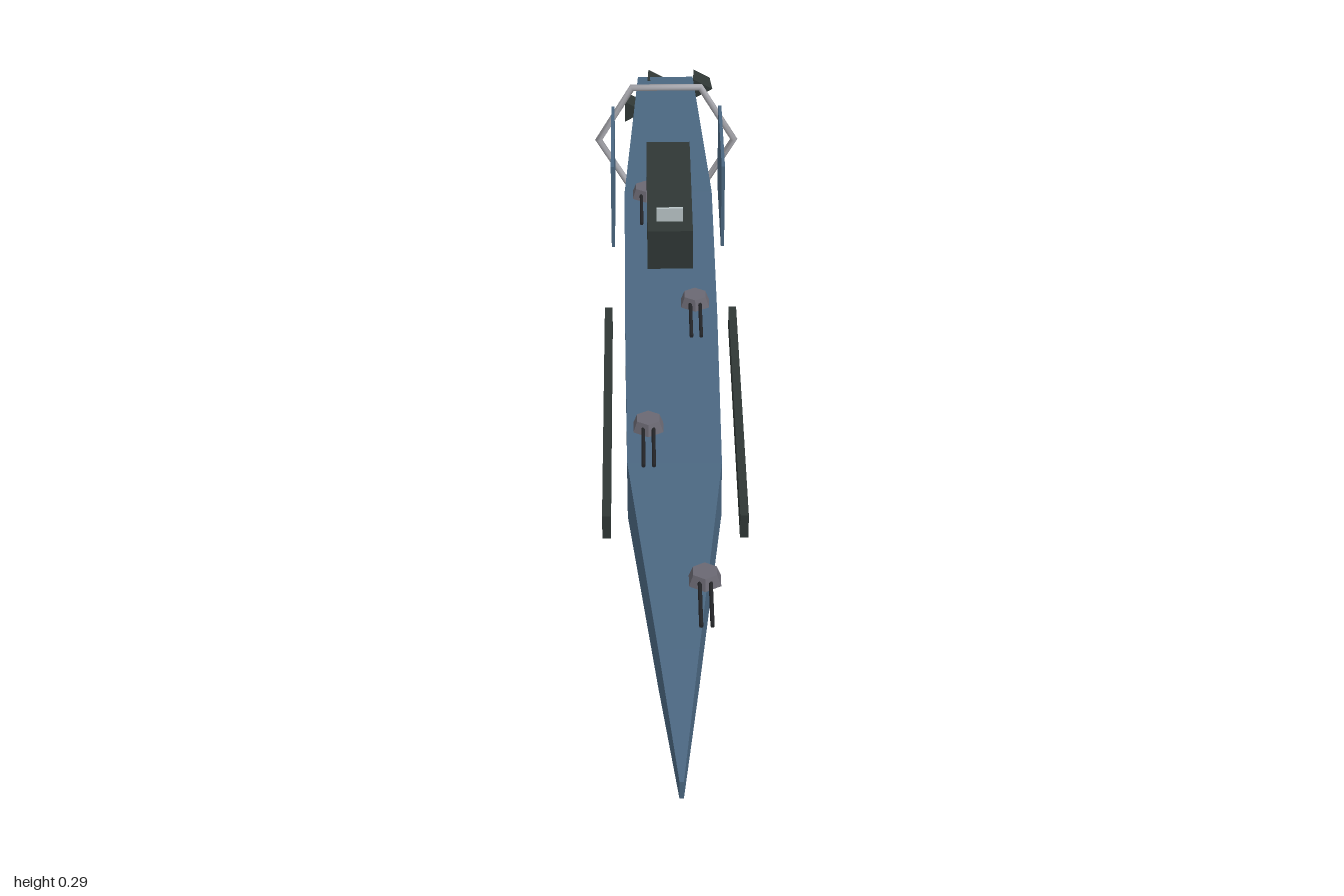
import * as THREE from 'three';

const mat = (name, color, flatShading = false) => {
  const m = new THREE.MeshStandardMaterial({ color, flatShading });
  m.name = name;
  return m;
};

// Rectangular hull lofted through sections [z, halfWidth, bottomY, topY]
function hullGeometry(sections) {
  const pos = [], index = [];
  for (const [z, w, b, t] of sections) pos.push(-w, b, z, w, b, z, w, t, z, -w, t, z);
  const n = sections.length;
  for (let s = 0; s < n - 1; s++) {
    for (let i = 0; i < 4; i++) {
      const j = (i + 1) % 4, a = s * 4 + i, b = s * 4 + j;
      index.push(a, a + 4, b, b, a + 4, b + 4);
    }
  }
  const e = (n - 1) * 4;
  index.push(0, 1, 2, 0, 2, 3, e, e + 2, e + 1, e, e + 3, e + 2);
  const g = new THREE.BufferGeometry();
  g.setAttribute('position', new THREE.Float32BufferAttribute(pos, 3));
  g.setIndex(index);
  const flat = g.toNonIndexed();
  flat.computeVertexNormals();
  return flat;
}

export function createModel() {
  const root = new THREE.Group();
  root.name = 'spaceCruiser';

  const blue = mat('hullBlue', 0x4b6781);
  const dark = mat('darkArmor', 0x2f3735);
  const silver = mat('ringSilver', 0xa9a9af);
  const gunmetal = mat('turretGrey', 0x6a6872, true);
  const barrelMat = mat('barrelBlack', 0x232427);
  const pale = mat('paleSensor', 0xb9c4c6);
  const nozzle = mat('nozzleGrey', 0x7c8082);

  const add = (name, geo, material, x, y, z, parent = root) => {
    const m = new THREE.Mesh(geo, material);
    m.name = name;
    m.position.set(x, y, z);
    parent.add(m);
    return m;
  };
  const box = (name, material, w, h, d, x, y, z) =>
    add(name, new THREE.BoxGeometry(w, h, d), material, x, y, z);

  // Long tapered hull
  add('hull', hullGeometry([
    [1, 0.003, 0.105, 0.135],
    [0.75, 0.029, 0.084, 0.156],
    [0.32, 0.073, 0.068, 0.171],
    [-0.1, 0.077, 0.063, 0.177],
    [-0.5, 0.078, 0.062, 0.178],
    [-0.97, 0.053, 0.077, 0.163],
  ]), blue, 0, 0, 0);

  // Command tower and its sensor panel
  box('tower', dark, 0.077, 0.074, 0.31, 0, 0.229, -0.37);
  box('sensorPanel', pale, 0.045, 0.03, 0.005, 0, 0.276, -0.25);

  // Side armour strips and rear fins
  for (const [side, s] of [['left', 1], ['right', -1]]) {
    box(side + 'ArmorStrip', dark, 0.013, 0.042, 0.59, s * 0.105, 0.119, 0.12);
    box(side + 'Fin', blue, 0.006, 0.168, 0.23, s * 0.1, 0.12, -0.66);
  }

  // Hexagonal ring around the stern
  add('sternRing', new THREE.TorusGeometry(0.128, 0.007, 8, 6), silver, 0, 0.119, -0.8);

  // Twin gun barrels pointing forward
  const barrelGeo = new THREE.CylinderGeometry(0.003, 0.003, 0.1, 8).rotateX(Math.PI / 2);
  const barrels = (x, y, z, parent) => {
    for (const s of [-1, 1]) add('barrel', barrelGeo, barrelMat, x + s * 0.008, y, z, parent);
  };

  // Upper turrets on alternating sides
  const turretGeo = new THREE.CylinderGeometry(0.02, 0.027, 0.018, 6);
  for (const [x, y, z] of [[0.04, 0.178, 0.61], [-0.04, 0.198, 0.25],
    [0.04, 0.198, -0.11], [-0.04, 0.198, -0.47]]) {
    const turret = new THREE.Group();
    turret.name = 'turret';
    turret.position.set(x, y, z);
    add('turretBase', turretGeo, gunmetal, 0, 0, 0, turret);
    barrels(0, 0, 0.065, turret);
    root.add(turret);
  }

  // Belly guns
  for (const [x, y, z] of [[0.038, 0.062, 0.495], [-0.04, 0.043, 0.14], [0.038, 0.043, -0.22]]) {
    const guns = new THREE.Group();
    guns.name = 'bellyGuns';
    guns.position.set(x, y, z);
    barrels(0, 0, 0, guns);
    root.add(guns);
  }

  // Four staggered three-sided engines
  const engineGeo = new THREE.CylinderGeometry(0.021, 0.025, 0.047, 3, 1, false, Math.PI / 2)
    .rotateX(-Math.PI / 2).toNonIndexed();
  engineGeo.computeVertexNormals();
  for (let i = 0; i < 4; i++) {
    add('engine', engineGeo, [dark, nozzle, dark],
      -0.066 + i * 0.044, i % 2 ? 0.145 : 0.096, -0.9765);
  }

  // Order of engines: lower, upper, lower, upper from right to left
  return root;
}
